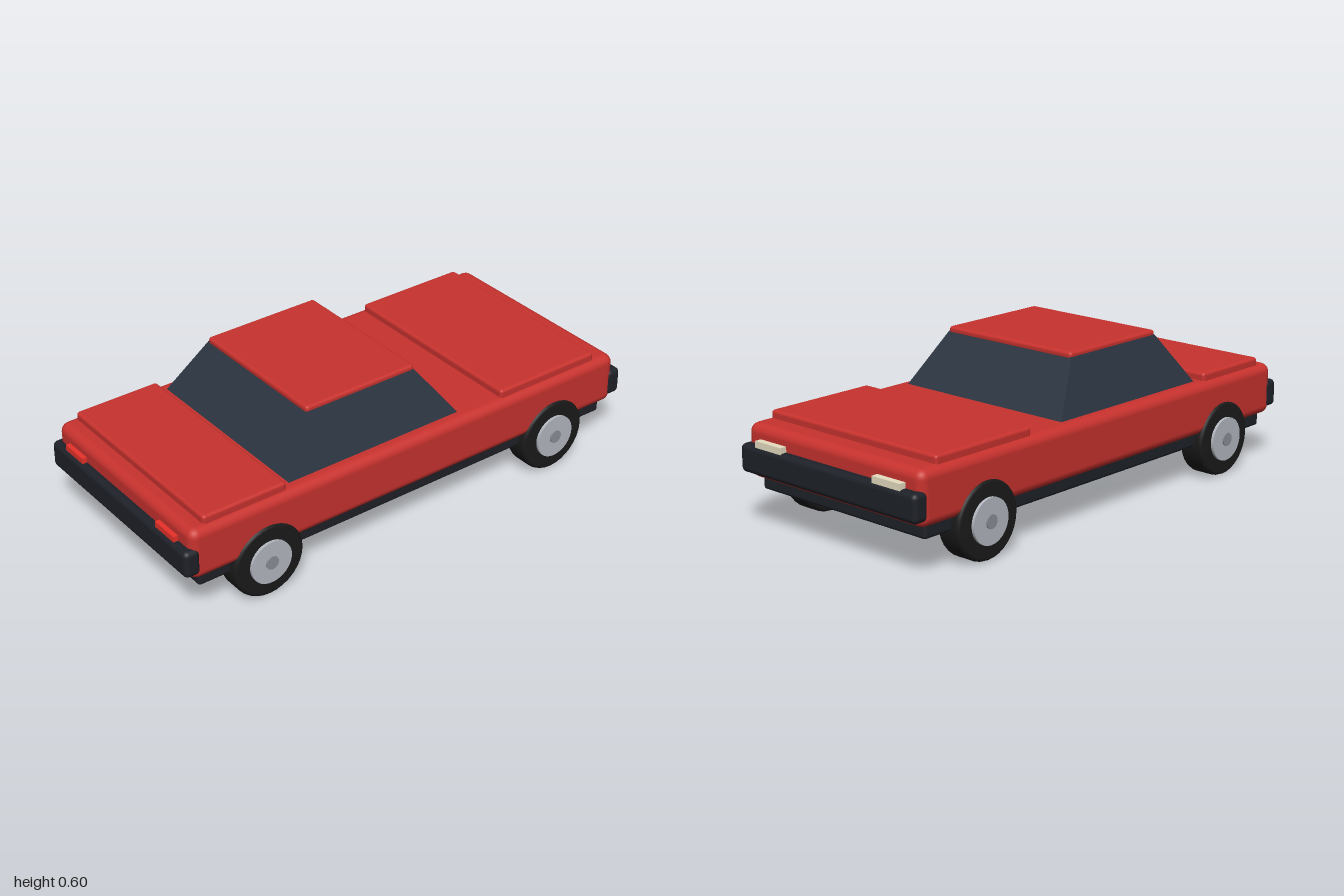
import * as THREE from 'three';
import { RoundedBoxGeometry } from 'three/addons/geometries/RoundedBoxGeometry.js';

const mat = (color, extra = {}) => new THREE.MeshStandardMaterial({ color, ...extra });
const red = mat(0xc8322e);
const trim = mat(0x1e2128);
const glass = mat(0x2b3541);
const rubber = mat(0x1a1a1a);
const metal = mat(0xb4b8c0);
const capGrey = mat(0x8b8f97);
const tailRed = mat(0xe8322a);
const lampCream = mat(0xe6dcc0);

export function createModel() {
  const car = new THREE.Group();
  car.name = 'car';

  const add = (name, geometry, material, parent = car) => {
    const mesh = new THREE.Mesh(geometry, material);
    mesh.name = name;
    parent.add(mesh);
    return mesh;
  };

  // Rounded block given by half width and its y and z ranges
  const block = (name, halfW, y0, y1, z0, z1, radius, material, x = 0) => {
    const geo = new RoundedBoxGeometry(halfW * 2, y1 - y0, z1 - z0, 3, radius);
    const mesh = add(name, geo, material);
    mesh.position.set(x, (y0 + y1) / 2, (z0 + z1) / 2);
    return mesh;
  };

  // Body shell and underbody
  block('body', 0.437, 0.187, 0.39, -0.965, 0.97, 0.035, red);
  block('underbody', 0.408, 0.138, 0.24, -0.925, 0.93, 0.012, trim);

  // Raised lids
  block('hood', 0.413, 0.37, 0.42, -0.873, -0.41, 0.012, red);
  block('trunkLid', 0.413, 0.37, 0.42, 0.562, 0.905, 0.012, red);

  // Tapered glass cabin: the top corners of a box are drawn inwards
  const cabin = new THREE.BoxGeometry(1, 1, 1).toNonIndexed();
  const p = cabin.attributes.position;
  for (let i = 0; i < p.count; i++) {
    const top = p.getY(i) > 0;
    const halfW = top ? 0.305 : 0.388;
    const zRange = top ? [-0.08, 0.393] : [-0.226, 0.537];
    p.setXYZ(i, Math.sign(p.getX(i)) * halfW, top ? 0.585 : 0.385, zRange[p.getZ(i) > 0 ? 1 : 0]);
  }
  cabin.computeVertexNormals();
  add('cabinGlass', cabin, glass);
  block('roof', 0.305, 0.573, 0.603, -0.083, 0.396, 0.012, red);

  // Bumpers at both ends
  block('frontBumper', 0.44, 0.213, 0.319, 0.935, 1, 0.02, trim);
  block('rearBumper', 0.44, 0.213, 0.319, -1, -0.935, 0.02, trim);

  // Lamps above the bumpers
  for (const [side, x] of [['left', 1], ['right', -1]]) {
    const tail = add(side + 'RedLamp', new THREE.BoxGeometry(0.116, 0.06, 0.04), tailRed);
    tail.position.set(x * 0.296, 0.31, 0.968);
    const head = add(side + 'PaleLamp', new THREE.BoxGeometry(0.134, 0.06, 0.04), lampCream);
    head.position.set(x * 0.296, 0.31, -0.972);
  }

  // Wheels: tyre, rim disc and hub cap, outer side facing +x before mirroring
  const tyreProfile = [[0, -0.052], [0.132, -0.052], [0.142, -0.047], [0.146, -0.037],
    [0.146, 0.037], [0.142, 0.047], [0.132, 0.052], [0, 0.052]]
    .map(([r, y]) => new THREE.Vector2(r, y));
  const tyreGeo = new THREE.LatheGeometry(tyreProfile, 32);
  const rimGeo = new THREE.CylinderGeometry(0.085, 0.085, 0.11, 32);
  const capGeo = new THREE.CylinderGeometry(0.026, 0.026, 0.12, 20);

  for (const x of [1, -1]) {
    for (const z of [0.66, -0.657]) {
      const wheel = new THREE.Group();
      wheel.name = (x > 0 ? 'left' : 'right') + (z > 0 ? 'Front' : 'Rear') + 'Wheel';
      add('tyre', tyreGeo, rubber, wheel);
      add('rim', rimGeo, metal, wheel).position.y = 0.008;
      add('hubCap', capGeo, capGrey, wheel).position.y = 0.008;
      wheel.rotation.z = -x * Math.PI / 2;
      wheel.position.set(x * 0.393, 0.148, z);
      car.add(wheel);
    }
  }
  return car;
}
